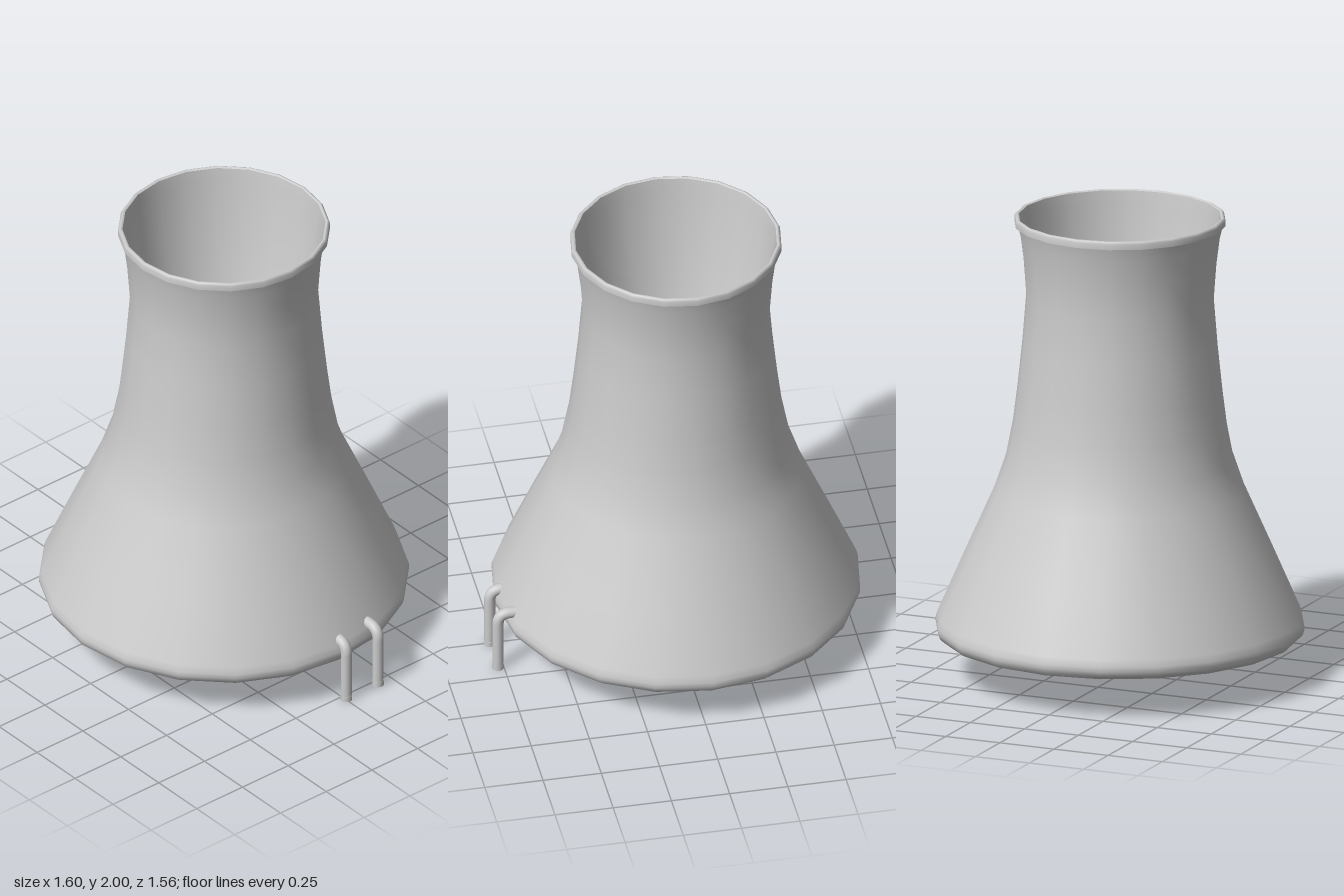
import * as THREE from 'three';

const SIDES = 20;
const material = new THREE.MeshStandardMaterial({ color: 0xcccccc });

// Ring-shaped surface from [radius, height] pairs, smooth within one profile
function turned(name, profile) {
  const points = profile.map(([r, y]) => new THREE.Vector2(r, y));
  const mesh = new THREE.Mesh(new THREE.LatheGeometry(points, SIDES), material);
  mesh.name = name;
  return mesh;
}

// Bent pipe: rises from the ground and turns into the tower wall
function createPipe(name, z) {
  const pipe = new THREE.Group();
  pipe.name = name;
  const path = new THREE.CurvePath();
  const p = (x, y) => new THREE.Vector3(x, y, 0);
  path.add(new THREE.LineCurve3(p(0, 0.02), p(0, 0.23)));
  path.add(new THREE.QuadraticBezierCurve3(p(0, 0.23), p(0, 0.28), p(-0.05, 0.28)));
  path.add(new THREE.LineCurve3(p(-0.05, 0.28), p(-0.1, 0.28)));
  const tube = new THREE.Mesh(new THREE.TubeGeometry(path, 40, 0.024, 14), material);
  tube.name = 'pipeTube';
  const foot = new THREE.Mesh(new THREE.CylinderGeometry(0.025, 0.025, 0.022, 14), material);
  foot.name = 'pipeFoot';
  foot.position.y = 0.011;
  pipe.add(tube, foot);
  pipe.position.set(0.775, 0, z);
  return pipe;
}

export function createModel() {
  const model = new THREE.Group();
  model.name = 'coolingTower';

  const tower = new THREE.Group();
  tower.name = 'tower';
  tower.position.x = -0.025;
  tower.add(
    turned('underside', [[0, 0.175], [0.735, 0.175]]),
    // Rounded foot, flared skirt and narrow waist
    turned('outerWall', [
      [0.735, 0.175], [0.757, 0.18], [0.773, 0.195], [0.78, 0.215], [0.78, 0.235], [0.77, 0.265],
      [0.65, 0.54], [0.53, 0.81], [0.482, 0.95], [0.453, 1.1], [0.434, 1.25], [0.413, 1.45],
      [0.397, 1.65], [0.408, 1.8], [0.422, 1.91], [0.435, 1.965],
    ]),
    // Collar around the mouth
    turned('collarUnderside', [[0.43, 1.965], [0.447, 1.965]]),
    turned('collarSide', [[0.447, 1.965], [0.447, 1.988], [0.442, 1.997], [0.435, 2], [0.428, 1.995]]),
    // Inner funnel with a soft, rounded floor
    turned('innerWall', [
      [0.428, 1.995], [0.42, 1.94], [0.385, 1.65], [0.31, 1.3],
      [0.225, 0.96], [0.2, 0.91], [0.16, 0.89], [0, 0.88],
    ]),
  );
  model.add(tower, createPipe('frontPipe', -0.005), createPipe('rearPipe', -0.178));
  return model;
}
